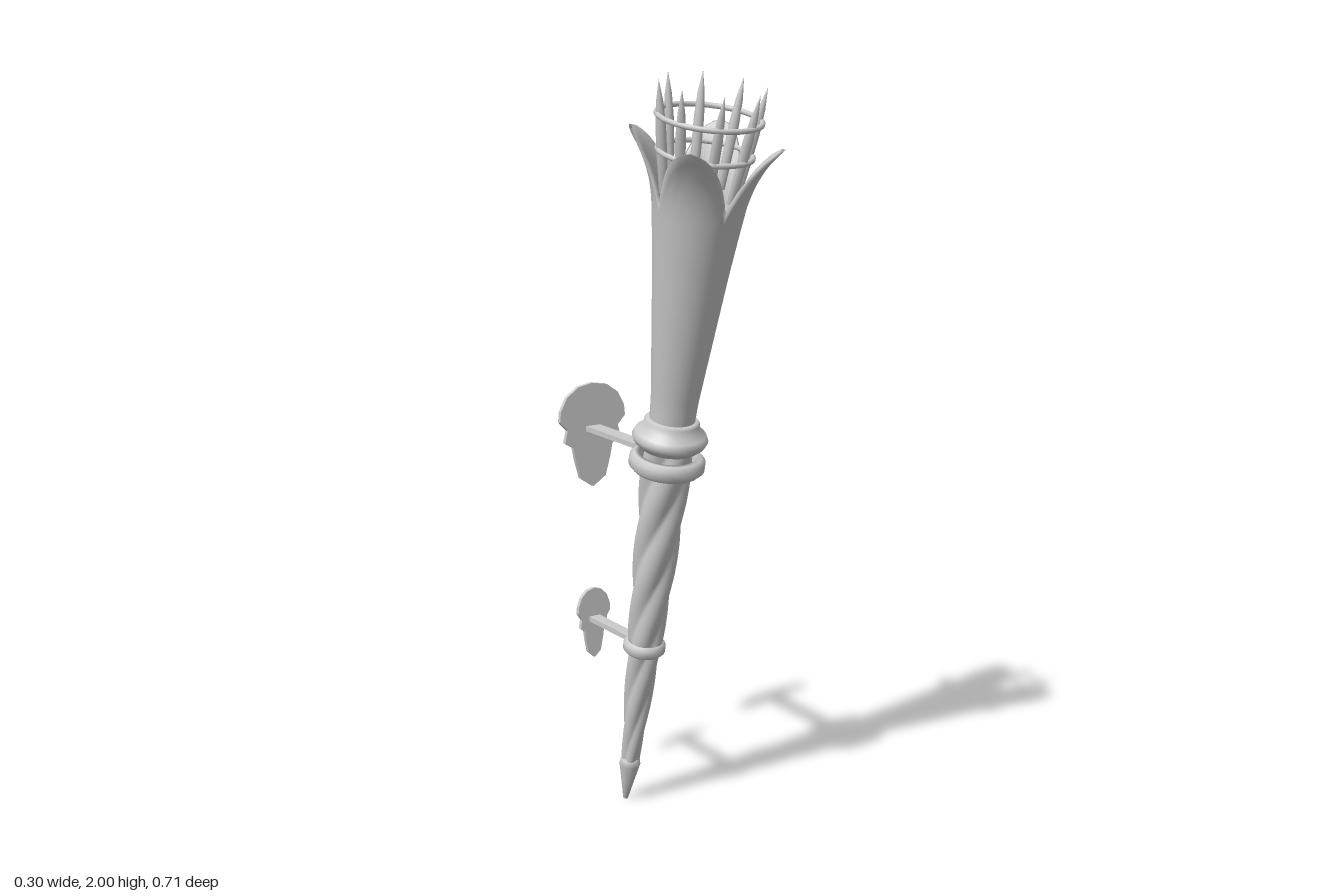
import * as THREE from 'three';

const material = new THREE.MeshStandardMaterial({ color: 0xcccccc, roughness: 0.7, side: THREE.DoubleSide });

function add(parent, name, geometry) {
  const mesh = new THREE.Mesh(geometry, material);
  mesh.name = name;
  parent.add(mesh);
  return mesh;
}

// Closed-loop cross-sections joined into one smooth surface.
// point(row, angle) returns [radius, height]; angle 0 faces +z.
function loft(rows, cols, point) {
  const pos = [], index = [];
  for (let i = 0; i < rows; i++) {
    for (let j = 0; j < cols; j++) {
      const a = (j / cols) * Math.PI * 2;
      const [r, y] = point(i, a);
      pos.push(r * Math.sin(a), y, r * Math.cos(a));
      if (i === rows - 1) continue;
      const k = (j + 1) % cols;
      const p = i * cols + j, q = i * cols + k;
      index.push(p, q, q + cols, p, q + cols, p + cols);
    }
  }
  const g = new THREE.BufferGeometry();
  g.setAttribute('position', new THREE.Float32BufferAttribute(pos, 3));
  g.setIndex(index);
  g.computeVertexNormals();
  return g;
}

// Linear lookup in [height, radius] pairs
function lookup(table, y) {
  for (let i = 1; i < table.length; i++) {
    const [y0, r0] = table[i - 1], [y1, r1] = table[i];
    if (y <= y1) return r0 + ((r1 - r0) * (y - y0)) / (y1 - y0);
  }
  return table[table.length - 1][1];
}

const lathe = (pts, n = 32) => new THREE.LatheGeometry(pts.map(p => new THREE.Vector2(p[0], p[1])), n);

// Hollow band with bevelled edges
function band(rIn, rOut, y, h) {
  const b = h * 0.25, t = h / 2;
  return lathe([
    [rIn, y - t], [rOut - b, y - t], [rOut, y - t + b], [rOut, y + t - b],
    [rOut - b, y + t], [rIn, y + t], [rIn, y - t],
  ]);
}

// Shaft with four lobes twisting upward
function shaft() {
  const radii = [[0.12, 0.024], [0.3, 0.036], [0.48, 0.046], [0.7, 0.056], [0.95, 0.064], [1.1, 0.068]];
  const rows = 70;
  return loft(rows, 40, (i, a) => {
    const y = 0.12 + (0.98 * i) / (rows - 1);
    const lobe = Math.abs(Math.cos(2 * (a - y * 7.5)));
    return [lookup(radii, y) * (0.84 + 0.18 * lobe), y];
  });
}

// Hollow cup whose rim opens into four flared petals
function cup() {
  const radii = [
    [1.12, 0.058], [1.2, 0.061], [1.3, 0.071], [1.42, 0.083], [1.55, 0.096], [1.66, 0.109],
    [1.73, 0.118], [1.78, 0.13], [1.82, 0.146], [1.86, 0.169], [1.89, 0.194],
  ];
  const n = 26;
  return loft(n * 2 + 1, 64, (i, a) => {
    if (i === n * 2) return [0, 1.25];
    const inner = i >= n;
    const v = (inner ? 2 * n - 1 - i : i) / (n - 1);
    const quarter = a / (Math.PI / 2);
    const t = Math.abs((quarter - Math.floor(quarter)) * 2 - 1);
    const rim = 1.725 + 0.165 * (1 - Math.pow(t, 1.7));
    const bottom = inner ? 1.25 : 1.12;
    const y = bottom + (rim - bottom) * v;
    return [lookup(radii, y) - (inner ? 0.009 : 0), y];
  });
}

// Shield-shaped wall plate, centred on its arm
function plate(sx, sy) {
  const half = [
    [0, -0.165], [0.04, -0.138], [0.055, -0.085], [0.062, -0.05], [0.088, -0.035], [0.08, 0],
    [0.103, 0.025], [0.1, 0.055], [0.08, 0.092], [0.045, 0.117], [0, 0.125],
  ];
  const mirrored = half.slice(1, -1).reverse().map(([x, y]) => [-x, y]);
  const shape = new THREE.Shape([...half, ...mirrored].map(([x, y]) => new THREE.Vector2(x * sx, y * sy)));
  return new THREE.ExtrudeGeometry(shape, { depth: 0.012, bevelEnabled: false });
}

export function createModel() {
  const model = new THREE.Group();
  model.name = 'wallTorch';

  // Torch, built upright and leaned forward from its tip
  const torch = new THREE.Group();
  torch.name = 'torch';
  torch.position.set(0, 0.002, -0.185);
  torch.rotation.x = 0.206;
  model.add(torch);

  add(torch, 'tip', lathe([[0, 0], [0.007, 0.003], [0.018, 0.06], [0.029, 0.115], [0.027, 0.13], [0.018, 0.14], [0, 0.14]], 12));
  add(torch, 'twistedShaft', shaft());
  add(torch, 'lowerRing', band(0.043, 0.057, 0.487, 0.036));
  add(torch, 'upperRing', band(0.075, 0.099, 1.03, 0.046));
  add(torch, 'collar', lathe([
    [0.05, 1.068], [0.074, 1.07], [0.092, 1.085], [0.099, 1.1], [0.092, 1.115],
    [0.074, 1.128], [0.072, 1.145], [0.066, 1.152], [0.05, 1.152],
  ]));
  add(torch, 'petalCup', cup());

  // Cage of eight spikes held by two hoops
  const cage = new THREE.Group();
  cage.name = 'cage';
  torch.add(cage);
  for (const [y, r] of [[1.85, 0.117], [1.937, 0.129]]) {
    const hoop = add(cage, 'hoop', new THREE.TorusGeometry(r, 0.007, 8, 24));
    hoop.rotation.x = Math.PI / 2;
    hoop.position.y = y;
  }
  const spikeShape = lathe([[0, 0], [0.011, 0.004], [0.013, 0.1], [0.013, 0.17], [0.009, 0.23], [0, 0.285]], 8);
  for (let i = 0; i < 8; i++) {
    const turn = new THREE.Group();
    turn.name = 'spikeMount';
    turn.rotation.y = ((i + 0.5) * Math.PI) / 4;
    cage.add(turn);
    const spike = add(turn, 'spike', spikeShape);
    spike.position.set(0, 1.74, 0.09);
    spike.rotation.x = 0.155;
  }

  // Wall brackets: level arm and shield plate
  const brackets = [
    { name: 'upper', y: 1.03, front: -0.055, width: 0.044, sx: 1, sy: 1 },
    { name: 'lower', y: 0.485, front: -0.13, width: 0.034, sx: 0.5, sy: 0.7 },
  ];
  for (const b of brackets) {
    const length = b.front + 0.346;
    const arm = add(model, b.name + 'Arm', new THREE.BoxGeometry(b.width, 0.014, length));
    arm.position.set(0, b.y, b.front - length / 2);
    const wall = add(model, b.name + 'WallPlate', plate(b.sx, b.sy));
    wall.position.set(0, b.y, -0.357);
  }
  return model;
}
